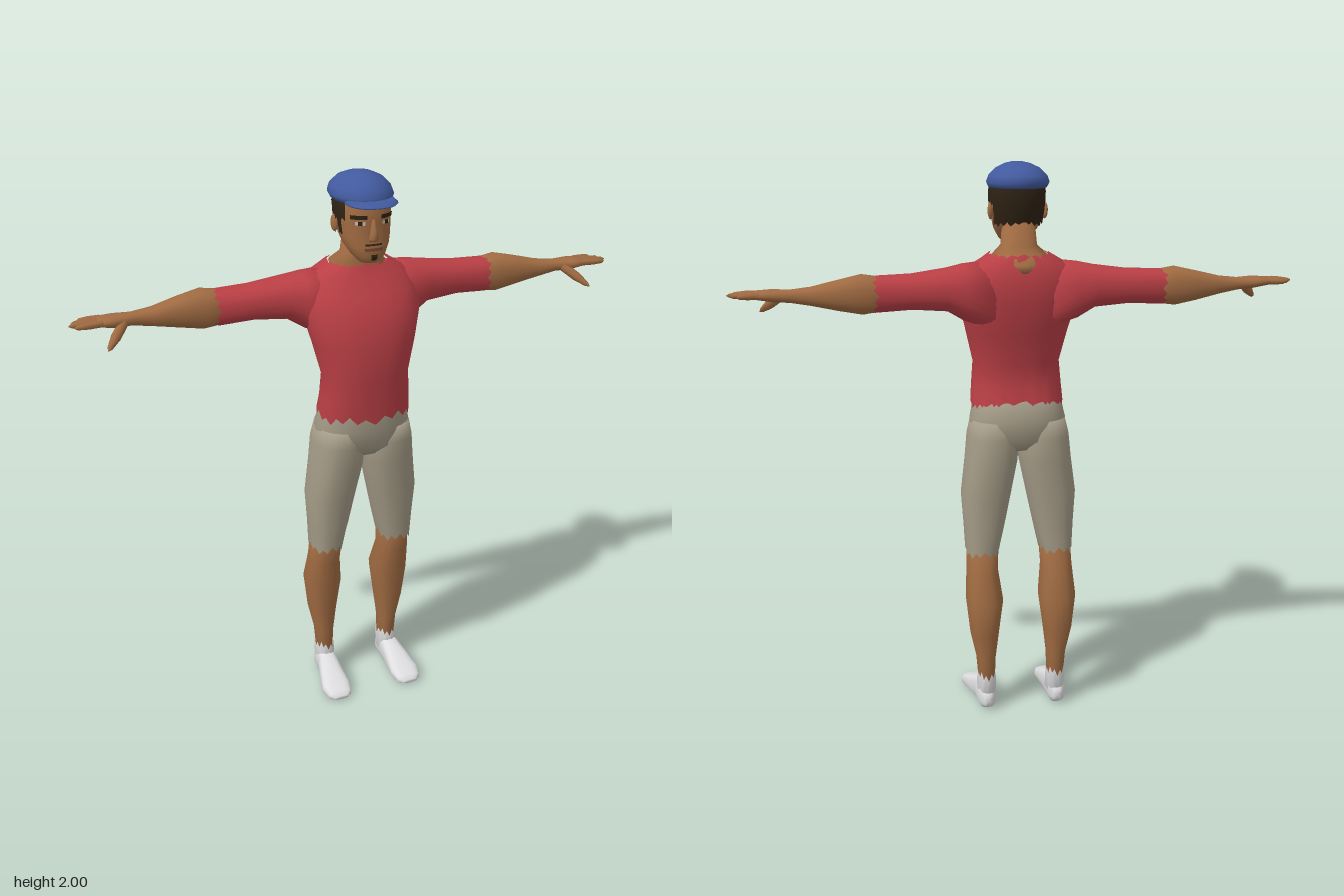
import * as THREE from 'three';

const mat = (name, color) => {
  const m = new THREE.MeshStandardMaterial({ color });
  m.name = name;
  return m;
};
const JAG = [0, 0.7, 0.2, 1, 0.35, 0.8];
// axis maps keep handedness: u and v span the ring, h runs along the loft
const AXES = {
  y: (u, h, v) => [u, h, v],
  x: (u, h, v) => [h, v, u],
  z: (u, h, v) => [v, u, h],
};

// Skin rings [h, u0, u1, v0, v1] (ascending h) with a rounded cross-section.
// lo / hi give ragged hems at the ends; a0..a1 limits the arc to an open patch.
function loft(rings, { axis = 'y', n = 20, p = 2.3, lo = 0, hi = 0, a0 = 0, a1 = Math.PI * 2 } = {}) {
  const pos = [], idx = [], closed = a1 - a0 > 6.28, cols = closed ? n : n + 1;
  const bend = (c) => Math.sign(c) * Math.abs(c) ** (2 / p);
  rings.forEach(([h, u0, u1, v0, v1], j) => {
    for (let i = 0; i < cols; i++) {
      const t = a0 + (a1 - a0) * i / n;
      let hh = h;
      if (j === 0) hh -= lo * JAG[i % 6];
      if (j === rings.length - 1) hh += hi * JAG[i % 6];
      pos.push(...AXES[axis]((u0 + u1) / 2 + (u1 - u0) / 2 * bend(Math.cos(t)), hh,
        (v0 + v1) / 2 + (v1 - v0) / 2 * bend(Math.sin(t))));
    }
  });
  for (let j = 0; j < rings.length - 1; j++) {
    for (let i = 0; i < n; i++) {
      const a = j * cols + i, b = j * cols + (i + 1) % cols, c = a + cols, d = b + cols;
      idx.push(a, c, b, b, c, d);
    }
  }
  // end caps
  if (closed) [0, rings.length - 1].forEach((j) => {
    if (j === 0 ? lo : hi) return;
    const [h, u0, u1, v0, v1] = rings[j], k = pos.length / 3;
    pos.push(...AXES[axis]((u0 + u1) / 2, h, (v0 + v1) / 2));
    for (let i = 0; i < n; i++) {
      const a = j * cols + i, b = j * cols + (i + 1) % n;
      j === 0 ? idx.push(k, a, b) : idx.push(k, b, a);
    }
  });
  const g = new THREE.BufferGeometry();
  g.setAttribute('position', new THREE.Float32BufferAttribute(pos, 3));
  g.setIndex(idx);
  g.computeVertexNormals();
  return g;
}

// tapered rod with a domed tip, used for fingers
function rod(from, to, r0, r1) {
  const a = new THREE.Vector3(...from), b = new THREE.Vector3(...to), d = b.clone().sub(a);
  const g = new THREE.LatheGeometry([[r0, 0], [r0, 0.5], [r1, 0.88], [0.0005, 1]]
    .map(([r, y]) => new THREE.Vector2(r, y * d.length())), 7);
  g.applyQuaternion(new THREE.Quaternion().setFromUnitVectors(new THREE.Vector3(0, 1, 0), d.normalize()));
  return g.translate(...from);
}

function mirrored(geo) {
  const g = geo.clone().scale(-1, 1, 1), ix = g.index.array;
  for (let i = 0; i < ix.length; i += 3) [ix[i], ix[i + 1]] = [ix[i + 1], ix[i]];
  return g;
}

// ring symmetric about x = 0
const sym = (y, r, z0, z1) => [y, -r, r, z0, z1];

const HEAD = [
  sym(1.712, 0.032, 0.01, 0.085), sym(1.735, 0.055, -0.01, 0.108), sym(1.77, 0.076, -0.045, 0.104),
  sym(1.8, 0.085, -0.078, 0.102), sym(1.85, 0.09, -0.1, 0.102), sym(1.9, 0.092, -0.108, 0.107),
  sym(1.95, 0.082, -0.1, 0.085),
];

// head ring at any height, grown outwards a little
function headAt(y, grow) {
  let k = 0;
  while (k < HEAD.length - 2 && HEAD[k + 1][0] < y) k++;
  const A = HEAD[k], B = HEAD[k + 1], f = (y - A[0]) / (B[0] - A[0]);
  const m = A.map((v, i) => v + (B[i] - v) * f);
  return [y, m[1] - grow, m[2] + grow, m[3] - grow, m[4] + grow];
}

// thin patch lying on the head; angles in degrees, 90 is the front
function patch(y0, y1, d0, d1, grow = 0.003, lo = 0) {
  const rings = [0, 1, 2, 3, 4].map((i) => headAt(y0 + (y1 - y0) * i / 4, grow));
  const r = Math.PI / 180;
  return loft(rings, { n: Math.max(4, Math.round((d1 - d0) / 8)), a0: d0 * r, a1: d1 * r, lo });
}

export function createModel() {
  const model = new THREE.Group();
  model.name = 'man';
  const skin = mat('skin', 0xa06b42), red = mat('shirtRed', 0xb93f45), khaki = mat('shortsKhaki', 0xa39a86);
  const white = mat('sockWhite', 0xdedee0), blue = mat('capBlue', 0x425a9e), hair = mat('hairBrown', 0x2f2214);
  const eyeWhite = mat('eyeWhite', 0xc9bfae), lip = mat('lipBrown', 0x74452d);

  const add = (name, geo, m) => {
    const mesh = new THREE.Mesh(geo, m);
    mesh.name = name;
    model.add(mesh);
  };
  const pair = (name, geo, m) => {
    add(name + 'Left', geo, m);
    add(name + 'Right', mirrored(geo), m);
  };

  // shirt body
  add('shirt', loft([
    sym(1.168, 0.168, -0.118, 0.126), sym(1.22, 0.162, -0.1, 0.132), sym(1.3, 0.155, -0.098, 0.14),
    sym(1.42, 0.183, -0.138, 0.15), sym(1.53, 0.212, -0.167, 0.13), sym(1.6, 0.2, -0.168, 0.09),
    sym(1.655, 0.17, -0.158, 0.055), sym(1.685, 0.105, -0.135, 0.04),
  ], { n: 36, lo: 0.035, hi: 0.012 }), red);
  pair('sleeve', loft([
    [0.1, -0.155, 0.05, 1.43, 1.672], [0.2, -0.158, 0.03, 1.465, 1.662], [0.26, -0.155, 0.008, 1.502, 1.65],
    [0.38, -0.148, -0.01, 1.512, 1.634], [0.495, -0.14, -0.02, 1.505, 1.63],
  ], { axis: 'x', n: 24, hi: 0.022 }), red);

  // shorts
  add('shortsSeat', loft([
    sym(0.99, 0.1, -0.09, 0.065), sym(1.03, 0.175, -0.13, 0.103), sym(1.1, 0.173, -0.135, 0.115),
    sym(1.15, 0.162, -0.125, 0.118), sym(1.2, 0.152, -0.094, 0.116),
  ], { n: 28 }), khaki);
  pair('shortsLeg', loft([
    [0.62, 0.078, 0.197, -0.112, 0.043], [0.7, 0.055, 0.202, -0.115, 0.055], [0.82, 0.03, 0.21, -0.122, 0.072],
    [0.95, 0.004, 0.193, -0.132, 0.095], [1.04, 0, 0.184, -0.135, 0.105], [1.1, 0.02, 0.17, -0.12, 0.1],
  ], { n: 24, lo: 0.03 }), khaki);

  // bare arms and legs
  pair('forearm', loft([
    [0.44, -0.132, -0.028, 1.515, 1.62], [0.55, -0.14, -0.025, 1.5, 1.638], [0.63, -0.13, -0.033, 1.515, 1.62],
    [0.72, -0.111, -0.038, 1.534, 1.598], [0.79, -0.099, -0.045, 1.546, 1.59], [0.85, -0.106, -0.026, 1.55, 1.592],
    [0.905, -0.106, -0.026, 1.56, 1.588],
  ], { axis: 'x' }), skin);
  pair('leg', loft([
    [0.08, 0.102, 0.158, -0.125, -0.04], [0.2, 0.097, 0.168, -0.13, -0.033], [0.3, 0.085, 0.19, -0.147, -0.018],
    [0.43, 0.068, 0.204, -0.16, 0.003], [0.54, 0.082, 0.196, -0.117, 0.022], [0.66, 0.075, 0.19, -0.1, 0.04],
  ]), skin);

  // fingers and thumb
  [[-0.094, -0.101, 0.965], [-0.075, -0.079, 0.988], [-0.056, -0.055, 1], [-0.037, -0.03, 0.985]]
    .forEach(([z0, z1, x], i) => pair('finger' + (i + 1),
      rod([0.89, 1.575, z0], [x, 1.573, z1], 0.0115, 0.008), skin));
  pair('thumb', rod([0.82, 1.565, -0.05], [0.893, 1.502, 0.03], 0.017, 0.009), skin);

  // socked feet
  pair('sockFoot', loft([
    [-0.135, 0.015, 0.06, 0.115, 0.148], [-0.11, 0, 0.095, 0.1, 0.165], [-0.04, 0, 0.105, 0.096, 0.17],
    [0.03, 0, 0.075, 0.092, 0.188], [0.09, 0, 0.05, 0.088, 0.2], [0.13, 0, 0.035, 0.098, 0.19],
    [0.145, 0.006, 0.02, 0.115, 0.172],
  ], { axis: 'z', p: 2.7 }), white);
  pair('sockCuff', loft([
    [0.05, 0.096, 0.166, -0.13, -0.025], [0.115, 0.096, 0.164, -0.133, -0.032],
  ], { n: 24, hi: 0.035 }), white);

  // neck, with the nape showing over the collar
  add('neck', loft([
    sym(1.635, 0.06, -0.163, 0.0), sym(1.66, 0.085, -0.161, 0.03), sym(1.687, 0.098, -0.137, 0.032),
    sym(1.72, 0.063, -0.1, 0.025), sym(1.8, 0.056, -0.088, 0.03),
  ]), skin);

  // head
  add('head', loft(HEAD, { n: 28 }), skin);
  add('nose', loft([
    sym(1.79, 0.014, 0.085, 0.112), sym(1.8, 0.018, 0.085, 0.127), sym(1.825, 0.012, 0.085, 0.12),
    sym(1.865, 0.007, 0.085, 0.107),
  ], { n: 8, p: 2 }), skin);
  pair('ear', new THREE.SphereGeometry(1, 10, 8).scale(0.01, 0.03, 0.018).rotateY(-0.3)
    .translate(0.095, 1.835, -0.015), skin);

  // hair and face
  add('hairBack', patch(1.8, 1.935, 202, 338, 0.007, 0.018), hair);
  pair('hairSide', patch(1.865, 1.935, -24, 30, 0.006, 0.015), hair);
  pair('sideburn', patch(1.815, 1.88, 4, 17, 0.005, 0.01), hair);
  pair('eyebrow', patch(1.866, 1.88, 42, 78, 0.005), hair);
  pair('eye', patch(1.846, 1.858, 52, 74, 0.003), eyeWhite);
  pair('iris', patch(1.845, 1.859, 59, 68, 0.005), hair);
  add('mouth', patch(1.758, 1.768, 68, 112, 0.004), lip);
  add('moustache', patch(1.776, 1.782, 72, 108, 0.003), hair);
  add('chinBeard', patch(1.724, 1.746, 82, 98, 0.003), hair);

  // cap
  add('capCrown', loft([
    sym(1.915, 0.1, -0.135, 0.112), sym(1.932, 0.108, -0.15, 0.112), sym(1.955, 0.1, -0.143, 0.1),
    sym(1.98, 0.075, -0.115, 0.078), sym(1.994, 0.045, -0.075, 0.045), sym(2, 0.02, -0.04, 0.015),
  ], { n: 24, p: 2.1 }), blue);
  add('capVisor', loft([
    sym(1.912, 0.084, -0.02, 0.16), sym(1.918, 0.088, -0.02, 0.166), sym(1.927, 0.08, -0.02, 0.14),
  ], { n: 24 }), blue);

  return model;
}
